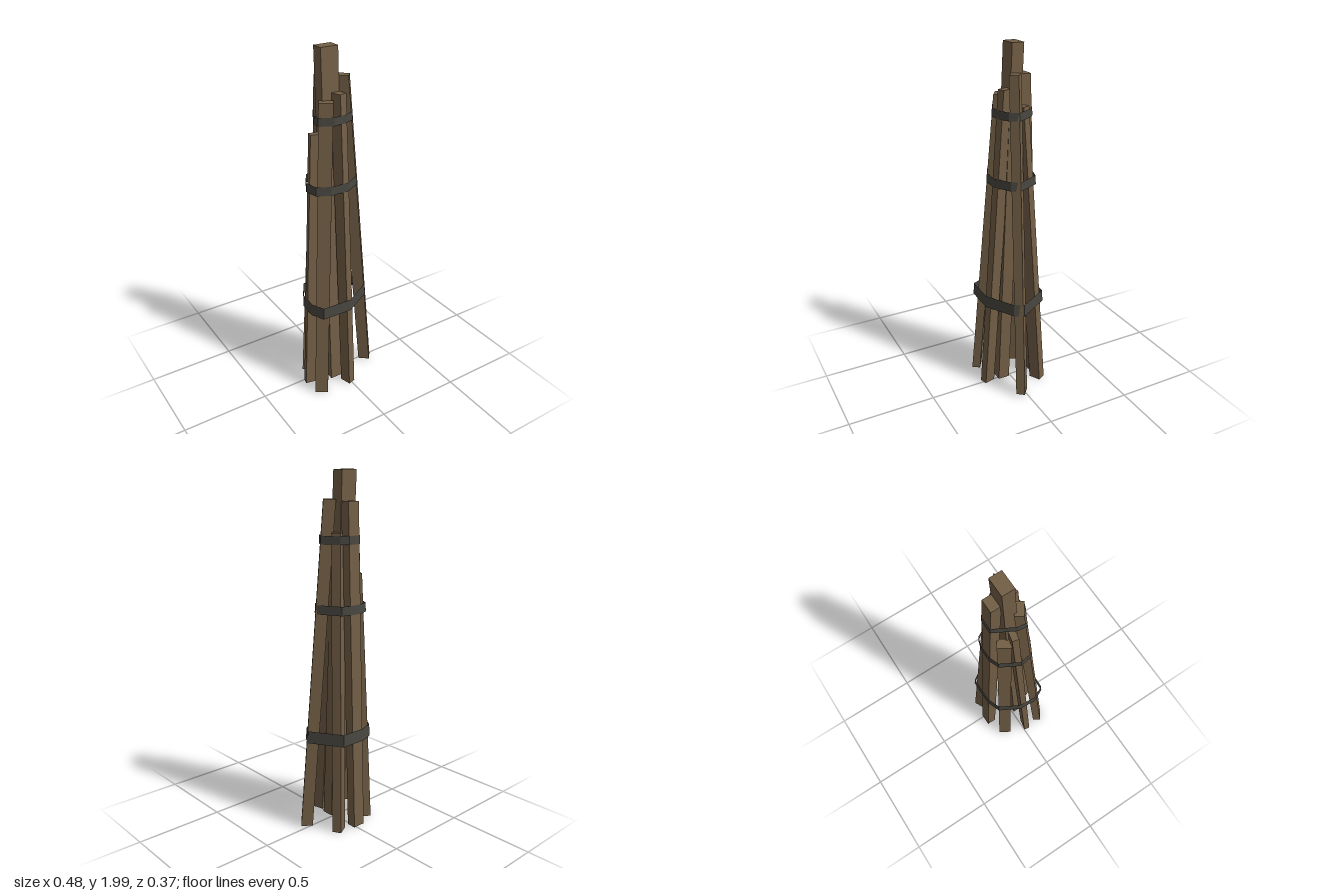
import * as THREE from 'three';

const wood = new THREE.MeshStandardMaterial({ name: 'weathered wood', color: 0x735f46, flatShading: true });
const iron = new THREE.MeshStandardMaterial({ name: 'dark iron', color: 0x484640, flatShading: true, side: THREE.DoubleSide });

// name, foot [x, y, z], head [x, y, z], width, depth, outward direction [x, z]
const BEAMS = [
  ['centrePost', [-0.034, 0.01, 0.045], [-0.034, 2.0, -0.043], 0.102, 0.068, [0, 1]],
  ['frontBeam', [-0.009, 0.012, 0.143], [0.0, 1.77, 0.02], 0.045, 0.066, [0.27, 0.96]],
  ['frontRightBeam', [-0.187, 0.01, 0.13], [-0.075, 1.735, 0.022], 0.075, 0.048, [-0.55, 0.84]],
  ['rightBeam', [-0.2, 0.012, 0.025], [-0.106, 1.56, -0.03], 0.036, 0.07, [-0.98, -0.2]],
  ['backRightBeam', [-0.15, 0.012, -0.107], [-0.092, 1.46, -0.071], 0.074, 0.05, [-0.85, -0.53]],
  ['backBeam', [-0.024, 0.01, -0.157], [-0.024, 1.84, -0.092], 0.074, 0.055, [0, -1]],
  ['backLeftBeam', [0.095, 0.01, -0.14], [0.026, 1.68, -0.055], 0.051, 0.07, [0.87, -0.47]],
  ['leftBeam', [0.197, 0.02, 0.02], [0.046, 1.85, -0.011], 0.051, 0.066, [0.77, 0.64]],
];

// name, bottom, top, outline corners [x, z]
const BANDS = [
  ['lowerBand', 0.525, 0.595, [[0.087, -0.172], [0.194, 0.005], [0.165, 0.056], [0, 0.15], [-0.175, 0.145],
    [-0.21, 0.07], [-0.203, -0.03], [-0.14, -0.142], [-0.063, -0.172]]],
  ['middleBand', 1.25, 1.3, [[0.065, -0.128], [0.132, 0], [0.105, 0.043], [0.01, 0.094], [-0.088, 0.092],
    [-0.16, 0.055], [-0.174, -0.02], [-0.118, -0.122], [-0.062, -0.144], [0.014, -0.144]]],
  ['upperBand', 1.62, 1.665, [[0.05, -0.1], [0.105, -0.008], [0.075, 0.039], [0.02, 0.064], [-0.058, 0.072],
    [-0.13, 0.034], [-0.125, -0.015], [-0.062, -0.13], [0.014, -0.13]]],
];

// A squared beam, turned to face outward and slanted from foot to head
function makeBeam([name, foot, head, width, depth, outward]) {
  const geo = new THREE.BoxGeometry(width, 1, depth);
  geo.rotateY(Math.atan2(outward[0], outward[1]));
  const pos = geo.attributes.position;
  for (let i = 0; i < pos.count; i++) {
    const end = pos.getY(i) < 0 ? foot : head;
    pos.setXYZ(i, pos.getX(i) + end[0], end[1], pos.getZ(i) + end[2]);
  }
  geo.computeVertexNormals();
  const mesh = new THREE.Mesh(geo, wood);
  mesh.name = name;
  return mesh;
}

// A flat strap wrapped around the beams, narrowing slightly upward
function makeBand([name, bottom, top, outline]) {
  const n = outline.length;
  const geo = new THREE.CylinderGeometry(1, 1, 1, n, 1, true);
  const pos = geo.attributes.position;
  for (let i = 0; i < pos.count; i++) {
    const [x, z] = outline[(n - (i % (n + 1))) % n];
    const upper = i <= n;
    const s = upper ? 0.99 : 1.01;
    pos.setXYZ(i, x * s, upper ? top : bottom, z * s);
  }
  geo.computeVertexNormals();
  const mesh = new THREE.Mesh(geo, iron);
  mesh.name = name;
  return mesh;
}

export function createModel() {
  const group = new THREE.Group();
  group.name = 'beamBundle';
  BEAMS.forEach((b) => group.add(makeBeam(b)));
  BANDS.forEach((b) => group.add(makeBand(b)));
  return group;
}
